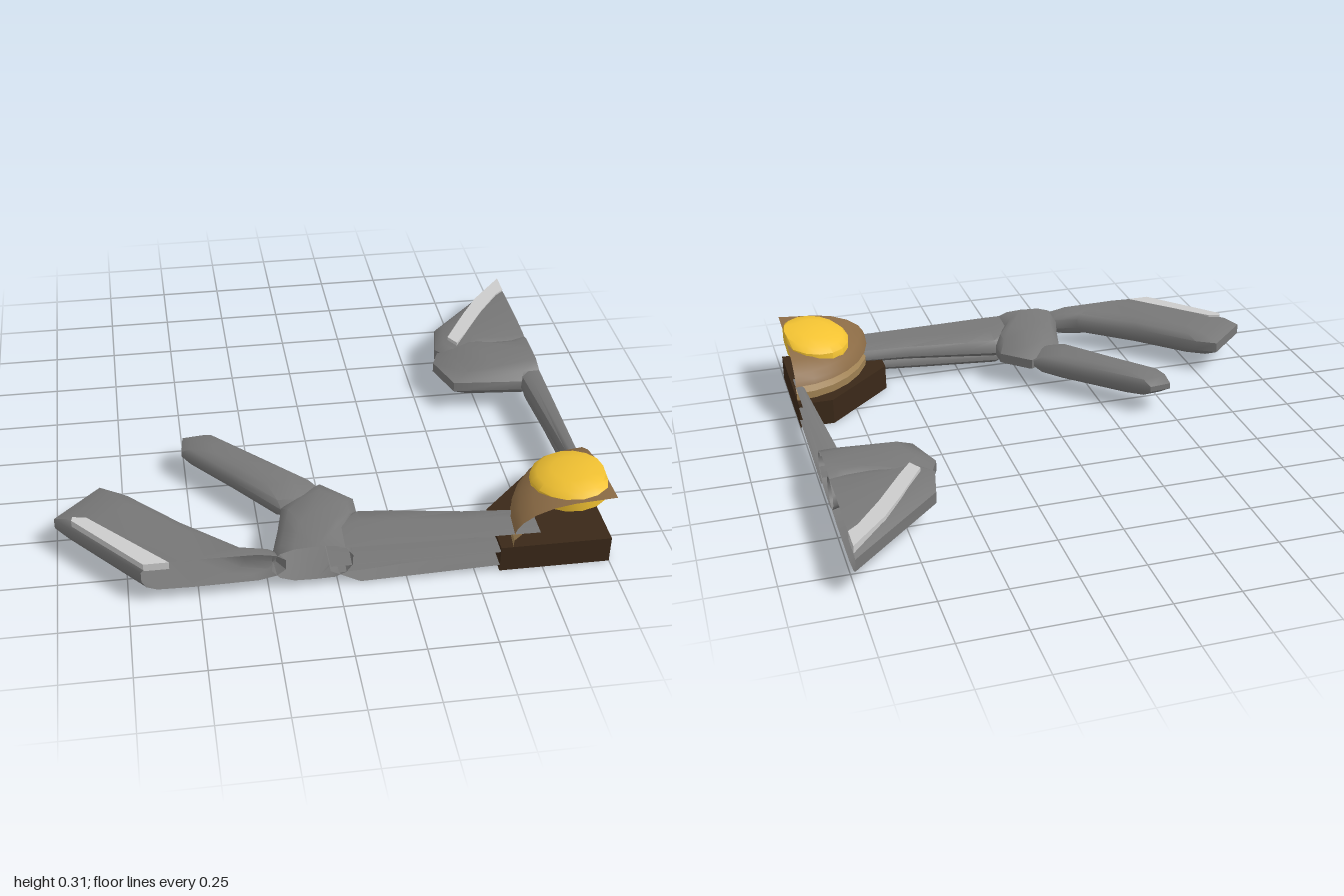
import * as THREE from 'three';
import { toCreasedNormals } from 'three/addons/utils/BufferGeometryUtils.js';

const CX = 1, CZ = 0.887; // open mirror planes of this quarter section

const material = (color) => new THREE.MeshStandardMaterial({ color, side: THREE.DoubleSide });
const metal = material(0x777777);
const trim = material(0xcccccc);
const darkWood = material(0x3a2818);
const wood = material(0x8b6b45);
const paleWood = material(0x9e8052);
const gold = material(0xf2c232);

// Skin a list of equal-length rings of [x, y, z] points
function loft(rings, closed = false) {
  const n = rings[0].length;
  const index = [];
  for (let r = 0; r < rings.length - 1; r++) {
    for (let i = 0; i < (closed ? n : n - 1); i++) {
      const a = r * n + i, b = r * n + (i + 1) % n;
      index.push(a, a + n, b, b, a + n, b + n);
    }
  }
  const g = new THREE.BufferGeometry();
  g.setAttribute('position', new THREE.Float32BufferAttribute(rings.flat(2), 3));
  g.setIndex(index);
  return toCreasedNormals(g, 0.75);
}

// Pillow shape: plan outline drawn in towards a centre; layers are [scale, y]
function pad(outline, [cx, cz], layers, closed = false) {
  return loft(layers.map(([s, y]) =>
    outline.map(([x, z]) => [cx + (x - cx) * s, y, cz + (z - cz) * s])), closed);
}

// Half tube lying against a mirror plane; stations are [position, width, bottom, top]
function halfTube(stations, alongX) {
  return loft(stations.map(([p, w, lo, hi]) => {
    const section = [[0, 1], [0.6, 1], [0.92, 0.85], [1, 0.6], [1, 0.35], [0.85, 0.1], [0.6, 0], [0, 0]];
    return section.map(([u, v]) => {
      const y = lo + (hi - lo) * v;
      return alongX ? [p, y, CZ - w * u] : [CX - w * u, y, p];
    });
  }));
}

// Flat plate from a plan outline
function plate(outline, top, depth) {
  const shape = new THREE.Shape(outline.map(([x, z]) => new THREE.Vector2(x, z)));
  const g = new THREE.ExtrudeGeometry(shape, { depth, bevelEnabled: false });
  return g.rotateX(Math.PI / 2).translate(0, top, 0);
}

// Quarter lathe around the corner of the section
function quarterShell(profile) {
  const pts = profile.map(([r, y]) => new THREE.Vector2(r, y));
  const g = new THREE.LatheGeometry(pts, 7, Math.PI, Math.PI / 2);
  g.scale(0.365, 1, 0.45).translate(CX, 0, CZ);
  return toCreasedNormals(g, 0.6);
}

export function createModel() {
  const model = new THREE.Group();
  const add = (name, geometry, mat, parent = model) => {
    const mesh = new THREE.Mesh(geometry, mat);
    mesh.name = name;
    parent.add(mesh);
  };

  // Hub: chamfered base, band and hollow dome
  add('hubBase', plate([[0.59, CZ], [0.59, 0.66], [0.86, 0.4], [CX, 0.4], [CX, CZ]], 0.105, 0.105), darkWood);
  add('hubBand', quarterShell([[1, 0.1], [1, 0.135], [0.93, 0.16]]), paleWood);
  add('hubDome', quarterShell([[0.93, 0.16], [1.0, 0.165], [0.98, 0.185], [0.93, 0.21],
    [0.8, 0.243], [0.62, 0.268], [0.42, 0.281], [0, 0.292]]), wood);

  // Golden cap, sheared to follow the dome and trimmed at the mirror plane
  const capProfile = [[1, -0.06], [1, -0.008], [0.85, 0.012], [0.5, 0.024], [0, 0.03]];
  const cap = new THREE.LatheGeometry(capProfile.map(([r, y]) => new THREE.Vector2(r, y)), 16);
  cap.scale(0.145, 1, 0.165);
  const pos = cap.attributes.position;
  for (let i = 0; i < pos.count; i++) {
    const x = pos.getX(i), z = pos.getZ(i);
    pos.setXYZ(i, Math.min(CX, x + 0.88), pos.getY(i) + 0.275 + 0.1 * (x + z), z + 0.705);
  }
  cap.computeVertexNormals();
  add('goldCap', toCreasedNormals(cap, 0.8), gold);

  // Side arm reaching towards -x
  const side = new THREE.Group();
  side.name = 'sideArm';
  model.add(side);
  add('upperBeam', halfTube([[0.73, 0.16, 0.09, 0.163], [0.48, 0.182, 0.085, 0.166],
    [0.22, 0.225, 0.075, 0.17], [0.1, 0.236, 0.065, 0.172], [0, 0.2, 0.06, 0.172]], true), metal, side);
  add('lowerBeam', halfTube([[0.69, 0.11, 0.03, 0.09], [0.4, 0.14, 0.02, 0.09],
    [0.08, 0.17, 0.01, 0.09], [-0.03, 0.15, 0.07, 0.09]], true), metal, side);
  add('elbow', pad([[-0.24, CZ], [-0.23, 0.83], [-0.2, 0.72], [-0.17, 0.59], [-0.11, 0.53], [-0.01, 0.465],
    [0.1, 0.57], [0.1, 0.65], [0.055, 0.74], [0.05, CZ]], [-0.08, CZ],
  [[0, 0.04], [0.5, 0.042], [0.82, 0.06], [1, 0.095], [1, 0.135], [0.82, 0.17], [0.5, 0.186], [0, 0.19]]), metal, side);
  add('innerFinger', pad([[-0.51, 0.18], [-0.5, 0.09], [-0.41, 0.08], [-0.2, 0.29], [-0.02, 0.47],
    [-0.06, 0.6], [-0.17, 0.59], [-0.34, 0.38]], [-0.26, 0.33],
  [[0, 0.06], [0.55, 0.062], [0.87, 0.08], [1, 0.105], [1, 0.128], [0.87, 0.15], [0.55, 0.165], [0, 0.168]], true), metal, side);
  add('outerFinger', pad([[-0.7, CZ], [-0.93, 0.625], [-1, 0.545], [-0.83, 0.38], [-0.75, 0.43], [-0.55, 0.63],
    [-0.33, 0.815], [-0.22, 0.84], [-0.19, CZ]], [-0.52, CZ],
  [[0, 0.055], [0.7, 0.058], [0.9, 0.072], [1, 0.098], [1, 0.14], [0.9, 0.163], [0.7, 0.176], [0, 0.18]]), metal, side);
  add('outerFingerTrim', plate([[-0.69, CZ], [-0.935, 0.61], [-0.93, 0.59], [-0.88, 0.6], [-0.6, CZ]], 0.178, 0.03), trim, side);

  // Rear arm reaching towards -z
  const rear = new THREE.Group();
  rear.name = 'rearArm';
  model.add(rear);
  add('upperBeam', halfTube([[0.54, 0.035, 0.09, 0.155], [0.4, 0.042, 0.09, 0.16],
    [-0.1, 0.08, 0.075, 0.167], [-0.18, 0.08, 0.075, 0.167]], false), metal, rear);
  add('lowerBeam', halfTube([[0.5, 0.025, 0.035, 0.09], [0.1, 0.04, 0.028, 0.09],
    [-0.13, 0.055, 0.023, 0.09], [-0.16, 0.055, 0.04, 0.09]], false), metal, rear);
  add('wrist', pad([[CX, -0.11], [0.92, -0.105], [0.64, -0.13], [0.585, -0.29], [0.64, -0.42],
    [0.69, -0.42], [0.75, -0.4], [0.91, -0.4], [CX, -0.44]], [CX, -0.27],
  [[0, 0.04], [0.5, 0.043], [0.82, 0.065], [1, 0.098], [1, 0.138], [0.82, 0.17], [0.5, 0.187], [0, 0.19]]), metal, rear);
  add('pointedFinger', pad([[CX, -0.89], [0.88, -0.77], [0.64, -0.53], [0.61, -0.38], [0.66, -0.31],
    [0.8, -0.3], [CX, -0.32]], [CX, -0.52],
  [[0, 0.05], [0.6, 0.053], [0.86, 0.068], [1, 0.1], [1, 0.145], [0.9, 0.17], [0.6, 0.182], [0, 0.186]]), metal, rear);
  add('pointedFingerTrim', plate([[CX, -0.87], [0.86, -0.71], [0.78, -0.59], [0.67, -0.41], [0.7, -0.36],
    [0.75, -0.43], [0.86, -0.6], [0.96, -0.735], [CX, -0.77]], 0.187, 0.035), trim, rear);

  return model;
}
